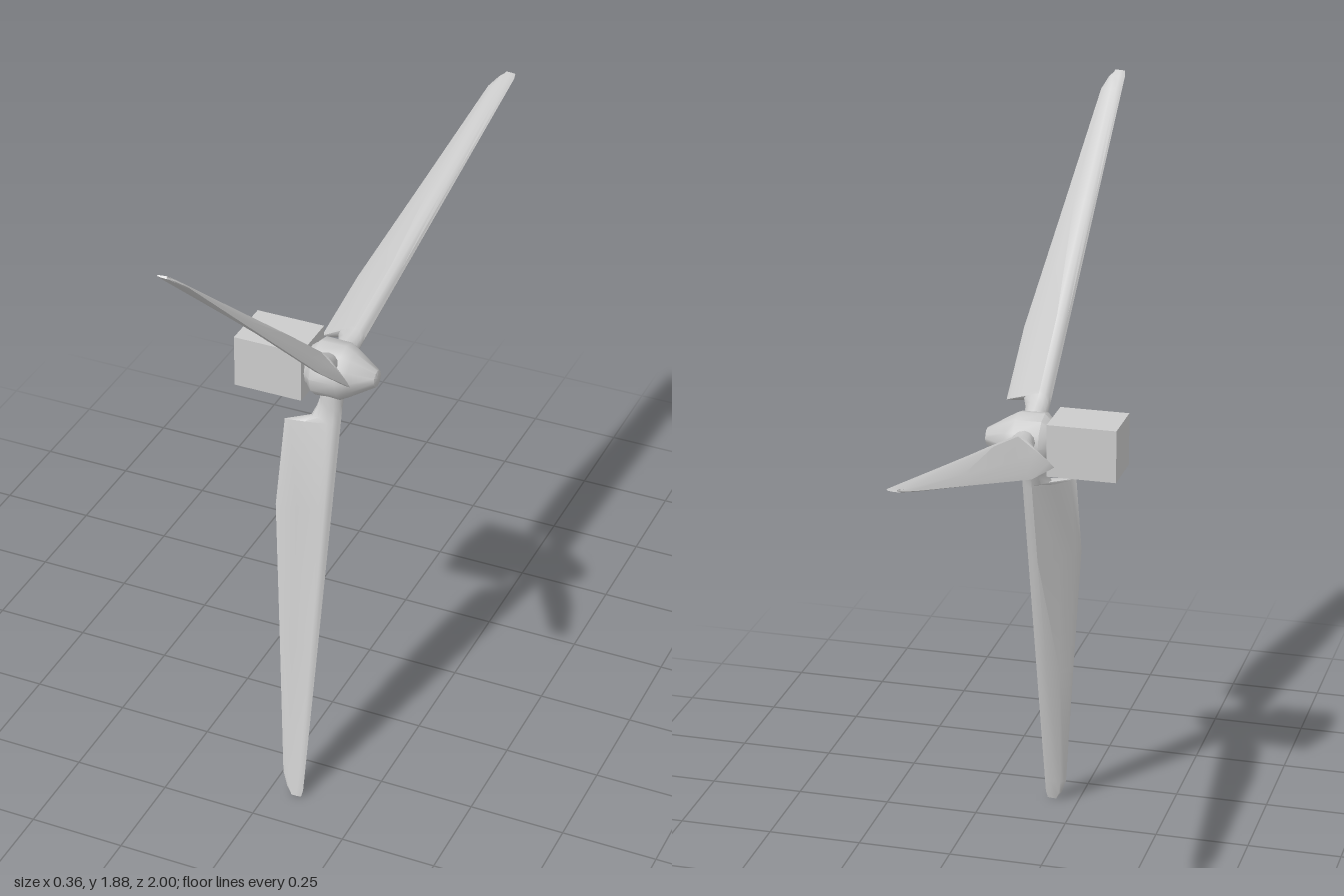
import * as THREE from 'three';
import { toCreasedNormals } from 'three/addons/utils/BufferGeometryUtils.js';

const material = new THREE.MeshStandardMaterial({ color: 0xcccccc, side: THREE.DoubleSide });
const AXIS_Y = 1.14, AXIS_Z = 0.12, BLADE_X = 0.06;

function addMesh(parent, name, geometry, crease = 0.7) {
  const mesh = new THREE.Mesh(toCreasedNormals(geometry, crease), material);
  mesh.name = name;
  parent.add(mesh);
  return mesh;
}

// Blade cross-sections: [radius, nose, trailing x, trailing offset, half thickness]
const STATIONS = [
  [0.04, 0.03, -0.03, 0, 0.03],
  [0.075, 0.03, -0.03, 0, 0.028],
  [0.1, 0.03, -0.035, 0.006, 0.021],
  [0.125, 0.03, -0.045, 0.012, 0.02],
  [0.137, 0.03, -0.1, 0.048, 0.02],
  [0.36, 0.03, -0.1, 0.053, 0.018],
  [0.73, 0.03, -0.063, 0.028, 0.011],
  [1.09, 0.03, -0.028, 0.004, 0.005],
  [1.13, 0.03, -0.014, 0.002, 0.004],
  [1.15, 0.026, 0.002, 0, 0.003],
];

// Round leading edge swept back to a trailing edge, lofted along +y
function bladeGeometry() {
  const n = 12, positions = [], index = [];
  for (const [r, nose, tail, offset, t] of STATIONS) {
    for (let j = 0; j < n; j++) {
      const a = (j / n) * Math.PI * 2, c = Math.cos(a), s = Math.sin(a);
      const back = Math.max(0, -c);
      const x = c > 0 ? nose * c : -tail * c;
      const thin = tail < -0.05 ? 1 - 0.45 * back : 1;
      positions.push(x, r, -(t * s * thin + offset * back));
    }
  }
  const last = STATIONS.length - 1;
  for (let i = 0; i < last; i++) {
    for (let j = 0; j < n; j++) {
      const a = i * n + j, b = i * n + (j + 1) % n, c = a + n, d = b + n;
      index.push(a, b, c, b, d, c);
    }
  }
  // Tip cap
  for (let j = 1; j < n - 1; j++) index.push(last * n, last * n + j, last * n + j + 1);
  // Offsets are mirrored in z, so the ring order is reversed from here on
  const g = new THREE.BufferGeometry();
  g.setAttribute('position', new THREE.Float32BufferAttribute(positions, 3));
  g.setIndex(index);
  return g;
}

export function createModel() {
  const group = new THREE.Group();
  group.name = 'turbineRotor';

  // Square housing behind the hub
  const nacelle = addMesh(group, 'nacelle', new THREE.BoxGeometry(0.18, 0.138, 0.138));
  nacelle.position.set(-0.09, AXIS_Y, AXIS_Z);

  // Hub with a tapered nose
  const profile = [[0, -0.01], [0.05, -0.01], [0.055, 0.005], [0.073, 0.022], [0.072, 0.09],
    [0.058, 0.115], [0.022, 0.173], [0, 0.176]].map(([r, x]) => new THREE.Vector2(r, x));
  const hub = addMesh(group, 'hub', new THREE.LatheGeometry(profile, 12), 0.9);
  hub.rotation.z = -Math.PI / 2;
  hub.position.set(0, AXIS_Y, AXIS_Z);

  // Three blades: angle from +z towards +y, length scale, turn about own axis
  const blades = [[40.2, 0.998, Math.PI], [165.9, 1.003, 0], [283.4, 1.019, 0]];
  const geometry = bladeGeometry();
  blades.forEach(([angle, scale, turn], i) => {
    const blade = addMesh(group, `blade${i + 1}`, geometry);
    blade.rotation.set(Math.PI / 2 - THREE.MathUtils.degToRad(angle), turn, 0);
    blade.scale.y = scale;
    blade.position.set(BLADE_X, AXIS_Y, AXIS_Z);
  });
  return group;
}
